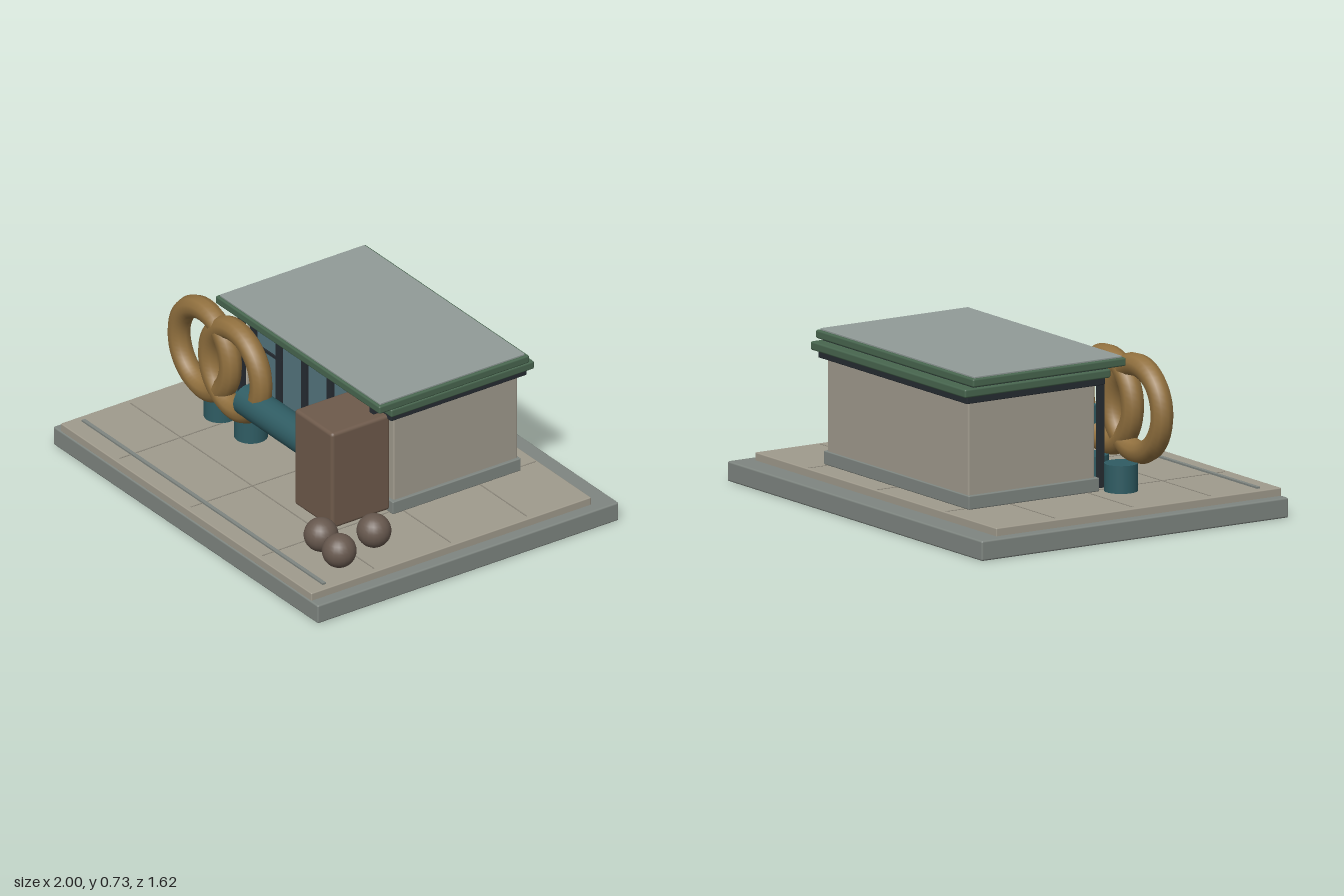
import * as THREE from 'three';
import { RoundedBoxGeometry } from 'three/addons/geometries/RoundedBoxGeometry.js';

const paint = (color) => new THREE.MeshStandardMaterial({ color });
const stone = paint(0x7f8681), paving = paint(0xa09b8d), wall = paint(0xa19b8e);
const green = paint(0x48664f), roofGrey = paint(0x919b98), dark = paint(0x262c32);
const glass = paint(0x55757e), bronze = paint(0x92713f), teal = paint(0x2f5c63);
const brown = paint(0x6e5a4b), pebble = paint(0x67584e), seam = paint(0x8a867a);

export function createModel() {
  const model = new THREE.Group();

  const add = (name, geometry, material, x, y, z) => {
    const mesh = new THREE.Mesh(geometry, material);
    mesh.name = name;
    mesh.position.set(x, y, z);
    model.add(mesh);
    return mesh;
  };
  // box given by its extents on each axis, optionally with rounded edges
  const block = (name, material, [x0, x1], [y0, y1], [z0, z1], r = 0) => {
    const size = [x1 - x0, y1 - y0, z1 - z0];
    const geometry = r ? new RoundedBoxGeometry(...size, 2, r) : new THREE.BoxGeometry(...size);
    return add(name, geometry, material, (x0 + x1) / 2, (y0 + y1) / 2, (z0 + z1) / 2);
  };

  // ground slab, paved deck and its seams
  block('baseSlab', stone, [-1, 1], [0, 0.09], [-0.81, 0.81], 0.008);
  block('pavedDeck', paving, [-0.95, 0.945], [0.085, 0.126], [-0.7, 0.805], 0.005);
  for (const x of [-0.54, 0, 0.54]) block('deckSeam', seam, [x - 0.003, x + 0.003], [0.12, 0.1275], [-0.69, 0.78]);
  for (const z of [-0.37, 0.04, 0.45]) block('deckSeam', seam, [-0.92, 0.92], [0.12, 0.1275], [z - 0.003, z + 0.003]);
  block('frontKerb', stone, [-0.91, 0.91], [0.12, 0.134], [0.702, 0.72]);

  // pavilion body
  block('plinth', stone, [-0.57, 0.57], [0.126, 0.188], [-0.59, 0.1], 0.005);
  block('walls', wall, [-0.555, 0.555], [0.18, 0.612], [-0.582, 0.085], 0.008);

  // glazed front: dark backing, windows, mullions and lower panel
  block('windowBacking', dark, [-0.51, 0.51], [0.185, 0.61], [0.08, 0.092]);
  block('lowerPanel', green, [-0.49, 0.49], [0.188, 0.265], [0.085, 0.102]);
  block('windowSill', dark, [-0.51, 0.51], [0.265, 0.298], [0.085, 0.108]);
  for (let i = -2; i <= 2; i++) {
    block('windowPane', glass, [i * 0.193 - 0.07, i * 0.193 + 0.07], [0.3, 0.6], [0.088, 0.097]);
  }
  for (let i = -3; i < 3; i++) {
    const x = (i + 0.5) * 0.193;
    block('mullion', dark, [x - 0.018, x + 0.018], [0.29, 0.61], [0.088, 0.106]);
  }
  block('paneRail', dark, [-0.456, -0.27], [0.508, 0.522], [0.09, 0.104]);

  // slim canopy posts
  for (const x of [-0.5, 0.5]) block('canopyPost', dark, [x - 0.014, x + 0.014], [0.12, 0.69], [0.137, 0.165]);

  // stepped roof
  block('roofFascia', dark, [-0.585, 0.585], [0.605, 0.642], [-0.61, 0.12], 0.004);
  block('lowerCornice', green, [-0.608, 0.608], [0.638, 0.677], [-0.635, 0.135], 0.008);
  block('roofGap', dark, [-0.59, 0.59], [0.67, 0.69], [-0.58, 0.12]);
  block('upperCornice', green, [-0.62, 0.62], [0.684, 0.722], [-0.6, 0.208], 0.008);
  block('roofPanel', roofGrey, [-0.606, 0.606], [0.715, 0.73], [-0.585, 0.195], 0.003);

  // interlocked rings on drum pedestals
  for (const x of [-0.605, -0.375]) {
    add('pedestal', new THREE.CylinderGeometry(0.075, 0.075, 0.125, 24), teal, x, 0.188, 0.19);
    add('ring', new THREE.TorusGeometry(0.195, 0.052, 10, 48), bronze, x, 0.485, 0.275);
  }

  // horizontal drum and upright block
  const drum = add('horizontalDrum', new THREE.CylinderGeometry(0.074, 0.074, 0.545, 24), teal, -0.022, 0.37, 0.27);
  drum.rotation.z = Math.PI / 2;
  block('uprightBlock', brown, [0.27, 0.557], [0.147, 0.623], [0.103, 0.418], 0.016);

  // stone balls
  for (const [x, z] of [[0.75, 0.33], [0.645, 0.54], [0.81, 0.56]]) {
    add('stoneBall', new THREE.SphereGeometry(0.077, 20, 14), pebble, x, 0.203, z);
  }

  return model;
}
